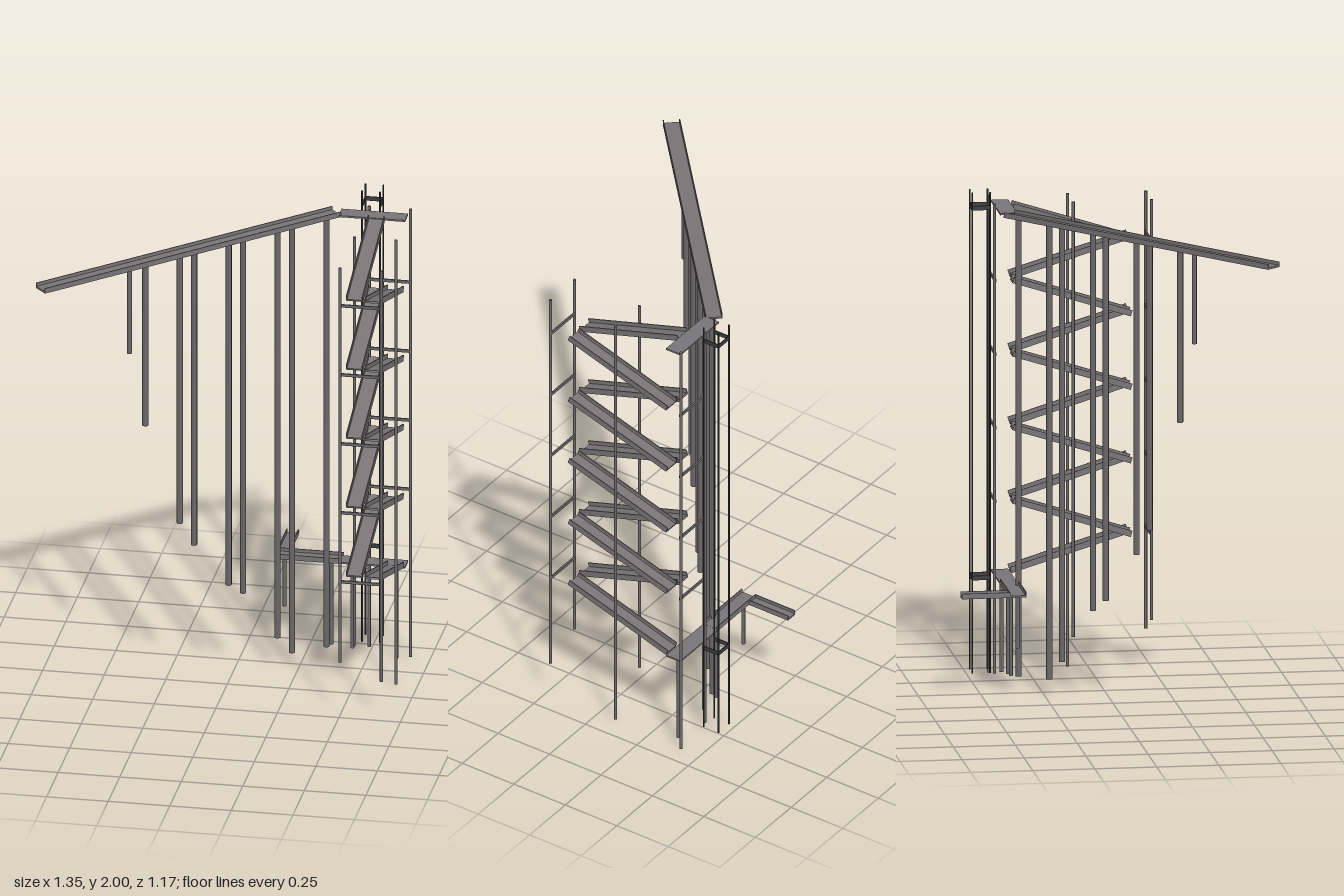
import * as THREE from 'three';

const walkMat = new THREE.MeshStandardMaterial({ color: 0x797376, side: THREE.DoubleSide });
walkMat.name = 'walkway grey';
const postMat = new THREE.MeshStandardMaterial({ color: 0x6b6769 });
postMat.name = 'post grey';
const darkMat = new THREE.MeshStandardMaterial({ color: 0x3c3d40 });
darkMat.name = 'dark steel';

export function createModel() {
  const model = new THREE.Group();
  model.name = 'stairTower';

  const add = (name, geometry, material, x, y, z) => {
    const mesh = new THREE.Mesh(geometry, material);
    mesh.name = name;
    mesh.position.set(x, y, z);
    model.add(mesh);
    return mesh;
  };
  const box = (name, material, w, h, d, x, y, z) =>
    add(name, new THREE.BoxGeometry(w, h, d), material, x, y, z);

  // vertical round pole between two heights
  const pole = (name, material, r, x, z, y0, y1) =>
    add(name, new THREE.CylinderGeometry(r, r, y1 - y0, 10), material, x, (y0 + y1) / 2, z);

  // U-shaped walkway section with low side walls, running from a to b
  const channel = (name, a, b, width, height = 0.022, wall = 0.004) => {
    const w = width / 2, h = height / 2;
    const profile = new THREE.Shape([
      [-w, -h], [w, -h], [w, h], [w - wall, h],
      [w - wall, -h + 0.008], [-w + wall, -h + 0.008], [-w + wall, h], [-w, h],
    ].map(([x, y]) => new THREE.Vector2(x, y)));
    const start = new THREE.Vector3(...a), end = new THREE.Vector3(...b);
    const geometry = new THREE.ExtrudeGeometry(profile, {
      depth: start.distanceTo(end), bevelEnabled: false,
    });
    add(name, geometry, walkMat, ...a).lookAt(end);
  };

  // long upper bridge, sloping gently down to its far end
  channel('upperBridge', [0.375, 1.93, -0.365], [-0.655, 1.905, 0.556], 0.07);

  // bridge posts, standing in pairs on rising ground
  const bridgePosts = [
    [-0.345, 1.53], [-0.29, 1.2], [-0.17, 0.74], [-0.12, 0.63], [0, 0.42],
    [0.05, 0.37], [0.17, 0.14], [0.22, 0.06], [0.34, 0.05],
  ];
  bridgePosts.forEach(([x, bottom], i) => {
    const top = 1.911 + (x + 0.655) * 0.0243 - 0.014;
    pole('bridgePost', postMat, i < 1 ? 0.01 : 0.0125, x, 0.556 - (x + 0.655) * 0.894, bottom, top);
  });

  // lower entrance walkway with its side leg
  channel('lowerWalkway', [0.13, 0.425, -0.365], [0.4, 0.425, -0.365], 0.07);
  channel('lowerWalkwayLeg', [0.155, 0.425, -0.4], [0.155, 0.425, -0.59], 0.05);
  for (const [x, bottom] of [[0.165, 0.2], [0.355, 0.05], [0.44, 0.04], [0.62, 0.01]]) {
    pole('walkwayPost', postMat, 0.008, x, -0.362, bottom, 0.416);
  }

  // thin landings at the foot and head of the stairs
  for (const y of [0.418, 1.925]) {
    box('landing', walkMat, 0.27, 0.007, 0.07, 0.525, y, -0.365);
  }

  // ten flights zigzagging between front and back
  for (let i = 0; i < 10; i++) {
    const y = 0.43 + i * 0.15;
    const outer = i % 2 === 0;
    const x = outer ? 0.621 : 0.544;
    const [z0, z1] = outer ? [-0.33, 0.147] : [0.147, -0.33];
    channel('stairFlight', [x, y, z0], [x, y + 0.15, z1], 0.068, 0.025);
  }

  // six tower poles, cut off where they meet the ground
  const towerPoles = [
    [0.5, -0.408, 0.03], [0.668, -0.408, 0], [0.5, -0.09, 0.17],
    [0.668, -0.09, 0.015], [0.5, 0.226, 0.23], [0.668, 0.226, 0.16],
  ];
  for (const [x, z, bottom] of towerPoles) {
    pole('towerPole', postMat, 0.0065, x, z, bottom, 1.945);
  }

  // cross bars behind the back turns and before the front turns
  for (let i = 0; i < 5; i++) {
    box('frontCrossBar', postMat, 0.168, 0.012, 0.007, 0.584, 0.58 + i * 0.3, 0.224);
    if (i < 4) box('backCrossBar', postMat, 0.168, 0.012, 0.007, 0.584, 0.73 + i * 0.3, -0.402);
  }

  // lift frame: four slim guide rods with an open-fronted collar at each stop
  for (const x of [0.467, 0.54]) {
    for (const z of [-0.502, -0.43]) pole('liftRod', darkMat, 0.0035, x, z, 0.04, 2);
  }
  for (const y of [0.428, 1.937]) {
    box('liftCollarBack', darkMat, 0.076, 0.018, 0.004, 0.5035, y, -0.502);
    for (const x of [0.467, 0.54]) box('liftCollarSide', darkMat, 0.004, 0.018, 0.072, x, y, -0.466);
  }

  return model;
}
